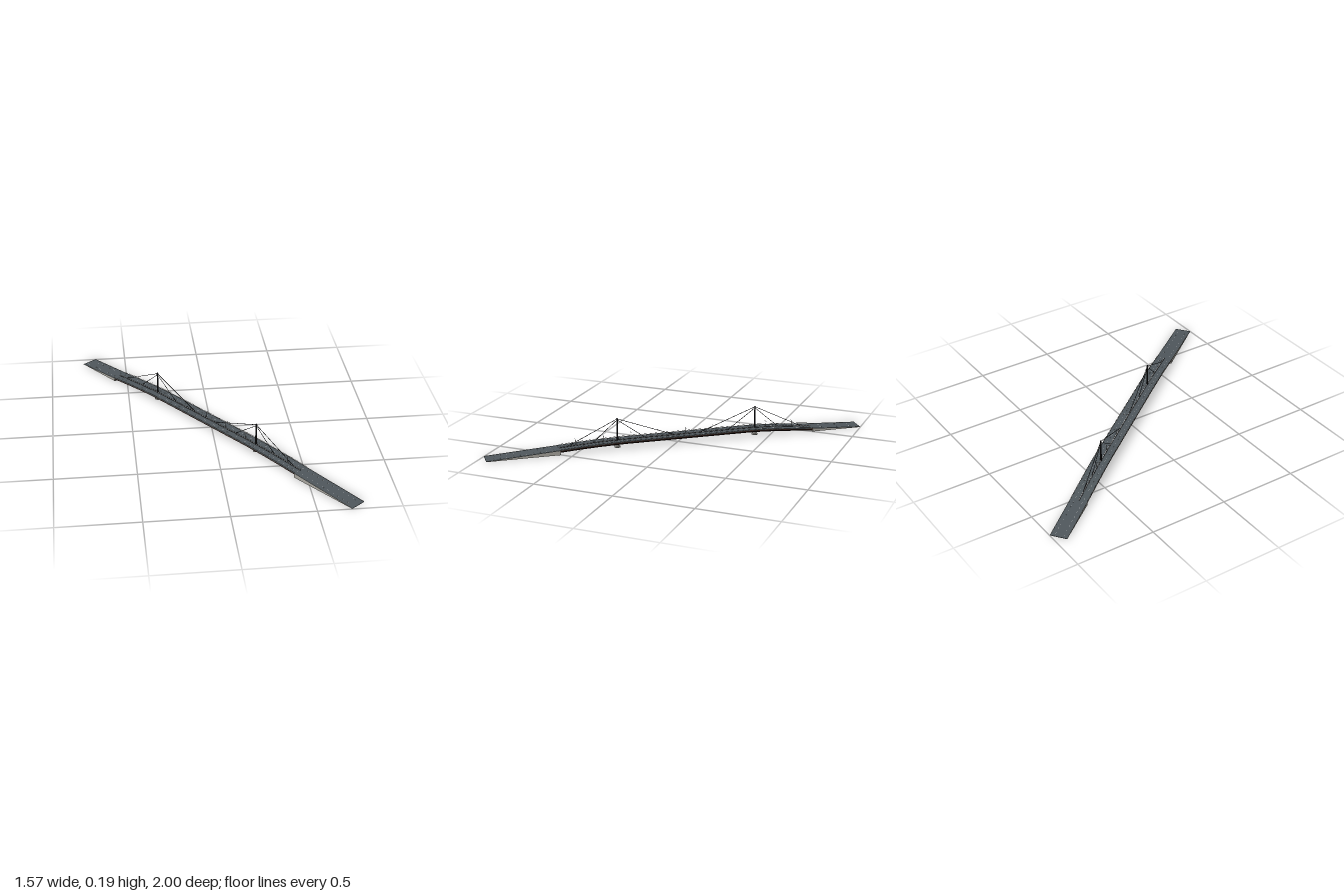
import * as THREE from 'three';

const mat = (color) => new THREE.MeshStandardMaterial({ color, flatShading: true, side: THREE.DoubleSide });
const asphalt = mat(0x50585d), concrete = mat(0xa9a7a0), girderMat = mat(0x2b1812), trim = mat(0x4a2a20);
const steel = mat(0x1c1c1e), paint = mat(0xc4c4c0), rail = mat(0x8f908c);

const HALF_LENGTH = 1.22, HALF_WIDTH = 0.0525;
const SPAN = [-0.89, 0.765]; // bridge deck between the two ramps
const TOWERS = [-0.51, 0.393];

// Road height along the bridge
const profile = [[-1.22, 0.002], [-0.89, 0.021], [-0.75, 0.032], [-0.62, 0.041], [-0.54, 0.045], [-0.46, 0.047],
  [0.35, 0.047], [0.43, 0.045], [0.51, 0.043], [0.62, 0.038], [0.765, 0.029], [1.22, 0.002]];
function roadY(s) {
  for (let i = 1; i < profile.length; i++) {
    const [a, ya] = profile[i - 1], [b, yb] = profile[i];
    if (s <= b) return ya + (yb - ya) * Math.max(0, (s - a) / (b - a));
  }
  return profile[profile.length - 1][1];
}

function add(parent, name, geometry, material, x = 0, y = 0, z = 0) {
  const mesh = new THREE.Mesh(geometry, material);
  mesh.name = name;
  mesh.position.set(x, y, z);
  parent.add(mesh);
  return mesh;
}

// Sweeps a closed cross-section along the road; section(s) gives [z, y] corners
function sweep(from, to, section) {
  const stations = [from, ...profile.map((p) => p[0]).filter((s) => s > from + 1e-4 && s < to - 1e-4), to];
  const n = section(from).length, pos = [], index = [];
  for (const s of stations) for (const [z, y] of section(s)) pos.push(s, y, z);
  for (let i = 0; i < stations.length - 1; i++) {
    for (let j = 0; j < n; j++) {
      const a = i * n + j, d = i * n + (j + 1) % n, b = a + n, c = d + n;
      index.push(a, b, c, a, c, d);
    }
  }
  const last = (stations.length - 1) * n;
  for (let j = 1; j < n - 1; j++) index.push(0, j, j + 1, last, last + j + 1, last + j);
  const g = new THREE.BufferGeometry();
  g.setAttribute('position', new THREE.Float32BufferAttribute(pos, 3));
  g.setIndex(index);
  const flat = g.toNonIndexed();
  flat.computeVertexNormals();
  return flat;
}

// Rectangular strip following the road, heights relative to its surface
const strip = (from, to, z0, z1, low, high) => sweep(from, to, (s) => {
  const y = roadY(s);
  return [[z1, y + high], [z0, y + high], [z0, y + low], [z1, y + low]];
});

// Round bar between two points
function bar(parent, name, a, b, radius, material) {
  const dir = b.clone().sub(a);
  const mesh = add(parent, name, new THREE.CylinderGeometry(radius, radius, dir.length(), 6), material);
  mesh.position.copy(a).add(b).multiplyScalar(0.5);
  mesh.quaternion.setFromUnitVectors(new THREE.Vector3(0, 1, 0), dir.normalize());
}

function addTower(parent, s, inward) {
  const tower = new THREE.Group();
  tower.name = 'tower';
  parent.add(tower);
  const base = roadY(s), top = 0.19;
  add(tower, 'mast', new THREE.CylinderGeometry(0.0045, 0.006, top - base, 8), steel, s, (top + base) / 2);
  add(tower, 'mastCap', new THREE.CylinderGeometry(0.006, 0.006, 0.006, 8), steel, s, top - 0.006);
  // Waisted pier below the girder
  const pts = [[0, 0], [0.019, 0], [0.019, 0.006], [0.014, 0.009], [0.014, 0.021], [0.02, 0.028], [0, 0.028]];
  add(tower, 'pier', new THREE.LatheGeometry(pts.map(([x, y]) => new THREE.Vector2(x, y)), 12), concrete, s);
  // Stays in one plane along the median
  for (const [offset, height] of [[0.37, 0.185], [0.18, 0.178], [-0.16, 0.178], [-0.32, 0.185]]) {
    const end = s + inward * offset;
    bar(tower, 'stayCable', new THREE.Vector3(s, height, 0), new THREE.Vector3(end, roadY(end), 0), 0.0017, steel);
  }
}

function addLamp(parent, s) {
  const lamp = new THREE.Group();
  lamp.name = 'streetLamp';
  lamp.position.set(s, roadY(s), 0);
  parent.add(lamp);
  add(lamp, 'lampPost', new THREE.CylinderGeometry(0.0006, 0.001, 0.04, 5), rail, 0, 0.02);
  add(lamp, 'lampArm', new THREE.BoxGeometry(0.001, 0.001, 0.03), rail, 0, 0.04);
  for (const side of [-1, 1]) add(lamp, 'lampHead', new THREE.BoxGeometry(0.002, 0.0012, 0.005), rail, 0, 0.0395, side * 0.015);
}

export function createModel() {
  const model = new THREE.Group();
  model.name = 'cableStayedBridge';
  const bridge = new THREE.Group();
  bridge.name = 'bridge';
  bridge.rotation.y = -Math.atan2(0.793, 0.6093); // road runs diagonally
  model.add(bridge);

  // Road surface
  add(bridge, 'road', strip(-HALF_LENGTH, HALF_LENGTH, -HALF_WIDTH, HALF_WIDTH, -0.002, 0), asphalt);

  // Box girder with sloping sides under the span
  add(bridge, 'girder', sweep(...SPAN, (s) => {
    const y = roadY(s) - 0.002;
    return [[0.051, y], [-0.051, y], [-0.051, y - 0.005], [-0.034, y - 0.018], [0.034, y - 0.018], [0.051, y - 0.005]];
  }), girderMat);
  for (const z of [-0.018, 0, 0.018]) add(bridge, 'girderRib', strip(...SPAN, z - 0.0015, z + 0.0015, -0.0215, -0.019), trim);

  // Edges: kerbs all along, railings and a fascia on the span
  for (const side of [-1, 1]) {
    const edge = (from, to, inner, outer, low, high) =>
      strip(from, to, Math.min(side * inner, side * outer), Math.max(side * inner, side * outer), low, high);
    add(bridge, 'kerb', edge(-HALF_LENGTH, HALF_LENGTH, 0.0505, HALF_WIDTH, -0.001, 0.001), rail);
    add(bridge, 'fascia', edge(...SPAN, 0.051, 0.0522, -0.007, -0.002), trim);
    add(bridge, 'handrail', edge(...SPAN, 0.0512, 0.0522, 0.0045, 0.0055), rail);
    for (let s = SPAN[0] + 0.005; s < SPAN[1]; s += 0.03) {
      add(bridge, 'railPost', new THREE.BoxGeometry(0.001, 0.005, 0.001), rail, s, roadY(s) + 0.0025, side * 0.0517);
    }
    // Lane dashes
    for (let s = -1.2; s < 1.19; s += 0.04) {
      add(bridge, 'laneDash', strip(s, s + 0.016, side * 0.026 - 0.0005, side * 0.026 + 0.0005, 0, 0.0004), paint);
    }
    // Ramp retaining walls
    for (const [a, b] of [[-HALF_LENGTH, SPAN[0]], [SPAN[1], HALF_LENGTH]]) {
      const z0 = side > 0 ? 0.048 : -0.052, z1 = z0 + 0.004;
      add(bridge, 'rampWall', sweep(a, b, (s) => {
        const y = roadY(s) - 0.001;
        return [[z1, y], [z0, y], [z0, 0], [z1, 0]];
      }), concrete);
    }
  }

  // Abutment walls closing the ramps, with cross walls inside
  for (const s of [SPAN[0], SPAN[1], -1.0, 0.9]) {
    const h = roadY(s) - 0.002;
    add(bridge, 'abutment', new THREE.BoxGeometry(0.008, h, 0.1), concrete, s, h / 2);
  }

  // Median barrier in short blocks on a dark base
  add(bridge, 'medianBase', strip(...SPAN, -0.003, 0.003, 0, 0.0015), steel);
  for (let s = SPAN[0]; s < SPAN[1] - 0.012; s += 0.02) {
    add(bridge, 'medianBlock', strip(s, s + 0.012, -0.0025, 0.0025, 0.0015, 0.005), paint);
  }

  TOWERS.forEach((s, i) => addTower(bridge, s, i === 0 ? 1 : -1));
  for (let i = 0; i < 9; i++) addLamp(bridge, -0.76 + i * 0.1775);
  return model;
}
